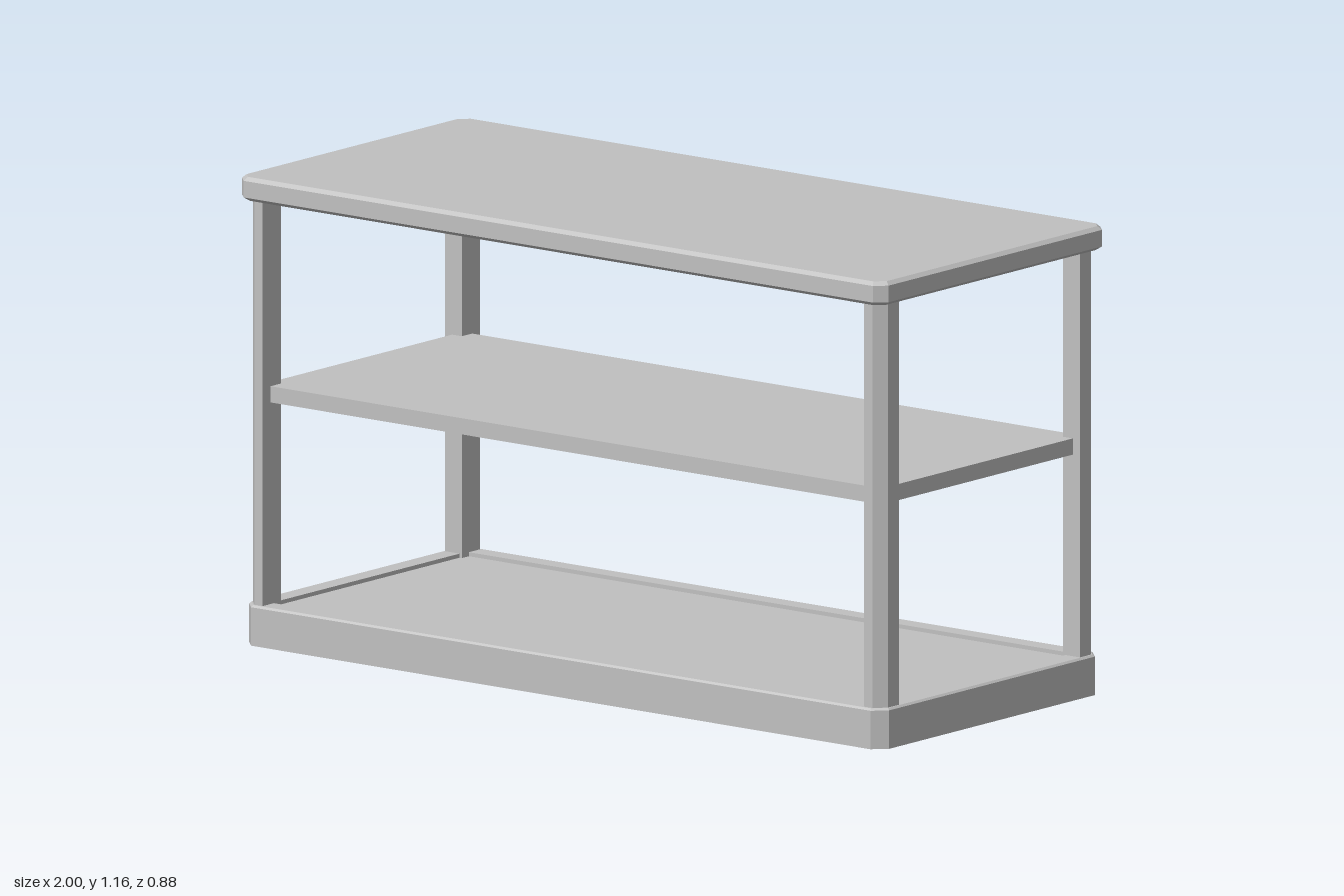
import * as THREE from 'three';

// Corner points of a rectangle with cut corners, counter-clockwise seen from above
function ring(hx, hz, cut, y) {
  return [
    [hx, hz - cut], [hx, -hz + cut], [hx - cut, -hz], [-hx + cut, -hz],
    [-hx, -hz + cut], [-hx, hz - cut], [-hx + cut, hz], [hx - cut, hz],
  ].map(([x, z]) => new THREE.Vector3(x, y, z));
}

// Joins successive rings with flat faces; caps the first (bottom) and last (top) if asked
function loft(rings, caps) {
  const pos = [];
  const tri = (a, b, c) => {
    const area = b.clone().sub(a).cross(c.clone().sub(a)).length();
    if (area > 1e-9) for (const p of [a, b, c]) pos.push(p.x, p.y, p.z);
  };
  for (let r = 0; r < rings.length - 1; r++) {
    const lo = rings[r], hi = rings[r + 1];
    for (let i = 0; i < 8; i++) {
      const j = (i + 1) % 8;
      tri(lo[i], lo[j], hi[j]);
      tri(lo[i], hi[j], hi[i]);
    }
  }
  if (caps) {
    const bottom = rings[0], top = rings[rings.length - 1];
    for (let i = 1; i < 7; i++) {
      tri(bottom[0], bottom[i + 1], bottom[i]);
      tri(top[0], top[i], top[i + 1]);
    }
  }
  const geo = new THREE.BufferGeometry();
  geo.setAttribute('position', new THREE.Float32BufferAttribute(pos, 3));
  geo.computeVertexNormals();
  return geo;
}

export function createModel() {
  const group = new THREE.Group();
  group.name = 'shelfTable';
  const grey = new THREE.MeshStandardMaterial({ color: 0xc0c0c0 });
  grey.name = 'light grey';

  const add = (name, geo, x = 0, y = 0, z = 0) => {
    const mesh = new THREE.Mesh(geo, grey);
    mesh.name = name;
    mesh.position.set(x, y, z);
    group.add(mesh);
  };

  // Table top with bevelled upper and lower edges
  add('tableTop', loft([
    ring(0.985, 0.425, 0.02, 1.097),
    ring(1, 0.44, 0.027, 1.107),
    ring(1, 0.44, 0.027, 1.148),
    ring(0.99, 0.43, 0.023, 1.157),
  ], true));

  // Base rim: a hollow frame, open above and below the floor panel
  const inner = (y) => ring(0.937, 0.377, 0, y);
  add('baseRim', loft([
    inner(0),
    ring(0.99, 0.43, 0.032, 0),
    ring(0.99, 0.43, 0.032, 0.095),
    ring(0.985, 0.425, 0.03, 0.1),
    inner(0.1),
    inner(0),
  ], false));

  // Floor panel set into the rim
  add('basePanel', new THREE.BoxGeometry(1.874, 0.04, 0.754), 0, 0.07, 0);

  // Middle shelf, its corners let into the posts
  add('middleShelf', new THREE.BoxGeometry(1.92, 0.04, 0.78), 0, 0.618, 0);

  // Corner posts with the outer edge cut off
  for (const sx of [-1, 1]) {
    for (const sz of [-1, 1]) {
      const outline = [[0.93, 0.35], [0.982, 0.35], [0.982, 0.393], [0.956, 0.42], [0.93, 0.42]];
      const shape = new THREE.Shape(outline.map(([x, z]) => new THREE.Vector2(x * sx, -z * sz)));
      const geo = new THREE.ExtrudeGeometry(shape, { depth: 1.02, bevelEnabled: false });
      geo.rotateX(-Math.PI / 2);
      add((sz > 0 ? 'front' : 'back') + (sx > 0 ? 'Left' : 'Right') + 'Post', geo, 0, 0.085, 0);
    }
  }
  return group;
}
